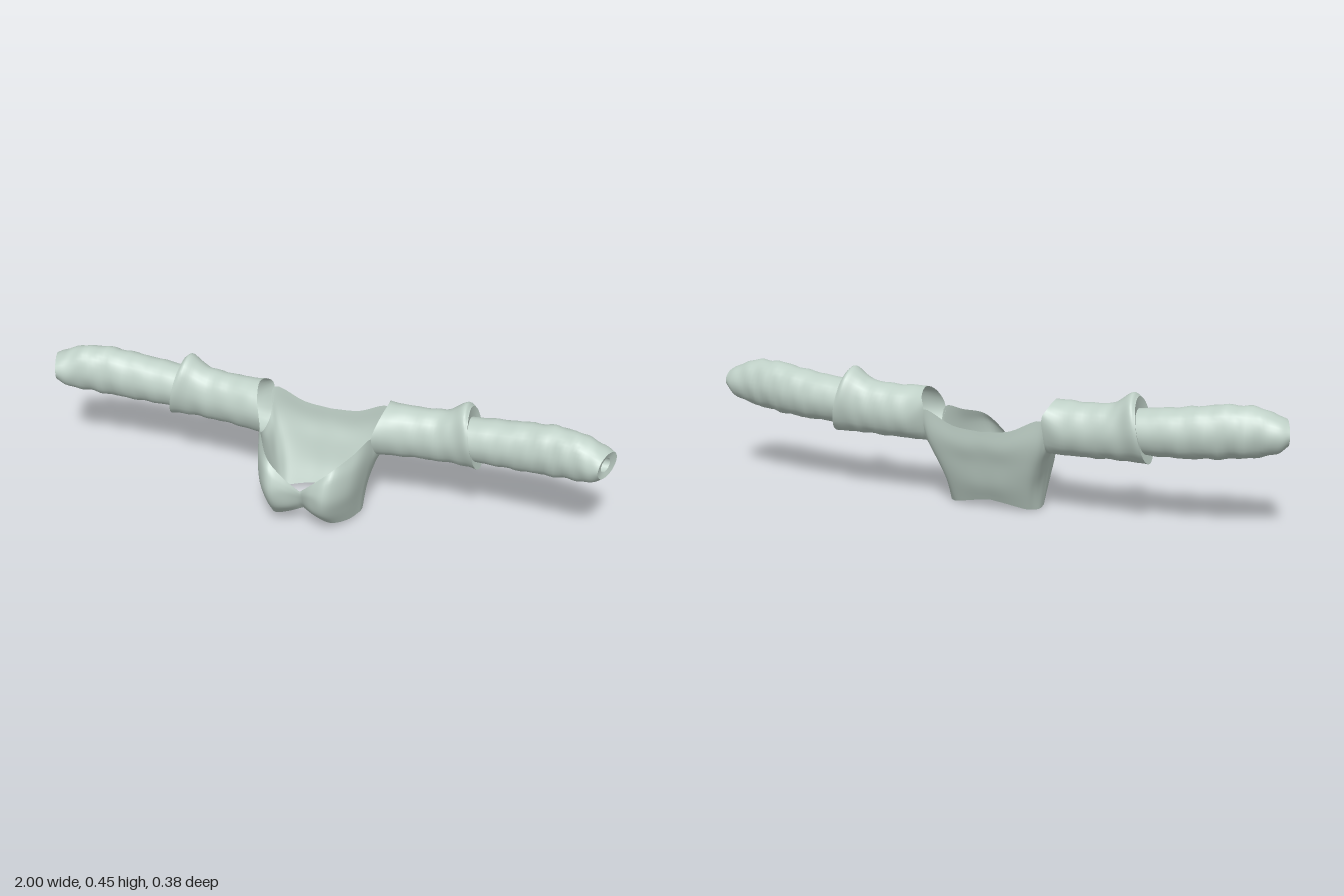
import * as THREE from 'three';

const V = (p) => new THREE.Vector3(p[0], p[1], p[2]);

// Smooth curve through points, sampled n steps per segment
function sample(points, n, closed = false) {
  const curve = new THREE.CatmullRomCurve3(points, closed, 'catmullrom', 0.5);
  const total = n * (closed ? points.length : points.length - 1);
  const out = [];
  for (let i = 0; i < total + (closed ? 0 : 1); i++) out.push(curve.getPoint(i / total));
  return out;
}

// Smooth extra rows between the given rows
function refine(rows, n) {
  const columns = rows[0].map((_, j) => sample(rows.map((r) => r[j]), n));
  return columns[0].map((_, i) => columns.map((c) => c[i]));
}

// Closed skin over a stack of rings
function skin(rings, flip = false) {
  const n = rings[0].length;
  const pos = [], idx = [];
  rings.forEach((r) => r.forEach((p) => pos.push(p.x, p.y, p.z)));
  for (let i = 0; i < rings.length - 1; i++) {
    for (let j = 0; j < n; j++) {
      const k = (j + 1) % n;
      const a = i * n + j, b = i * n + k, c = a + n, d = b + n;
      if (flip) idx.push(a, c, b, b, c, d);
      else idx.push(a, b, c, b, d, c);
    }
  }
  const g = new THREE.BufferGeometry();
  g.setAttribute('position', new THREE.Float32BufferAttribute(pos, 3));
  g.setIndex(idx);
  g.computeVertexNormals();
  return g;
}

// Lower half of the armhole, front to back, shared by bodice and sleeve
const ARMHOLE = [[0.2, 0.31, 0], [0.208, 0.24, -0.03], [0.215, 0.215, -0.085],
  [0.213, 0.24, -0.145], [0.207, 0.342, -0.172]];

// Half of the bodice, centre front to centre back, from hem to neckline
const BODICE = [
  [[0, 0.062, 0.11], [0.05, 0.045, 0.125], [0.1, 0.025, 0.117], [0.14, 0.01, 0.06], [0.16, 0.005, 0],
    [0.163, 0.002, -0.025], [0.16, 0, -0.05], [0.145, 0.001, -0.07], [0.12, 0.006, -0.087], [0.06, 0.02, -0.098], [0, 0.03, -0.102]],
  [[0, 0.092, 0.13], [0.05, 0.09, 0.165], [0.1, 0.085, 0.166], [0.15, 0.08, 0.09], [0.17, 0.08, 0.01],
    [0.172, 0.08, -0.025], [0.17, 0.08, -0.06], [0.16, 0.085, -0.095], [0.135, 0.09, -0.122], [0.06, 0.09, -0.132], [0, 0.09, -0.132]],
  [[0, 0.12, 0.142], [0.05, 0.148, 0.178], [0.105, 0.15, 0.188], [0.16, 0.15, 0.11], [0.182, 0.155, 0.01],
    [0.184, 0.145, -0.03], [0.183, 0.14, -0.07], [0.178, 0.145, -0.115], [0.155, 0.17, -0.15], [0.07, 0.17, -0.156], [0, 0.17, -0.156]],
  [[0, 0.138, 0.147], [0.05, 0.178, 0.173], [0.11, 0.215, 0.175], [0.165, 0.225, 0.1], [0.194, 0.235, 0.01],
    [0.197, 0.2, -0.03], [0.198, 0.185, -0.08], [0.196, 0.2, -0.135], [0.185, 0.255, -0.17], [0.08, 0.233, -0.176], [0, 0.233, -0.176]],
  [[0, 0.148, 0.147], [0.055, 0.202, 0.162], [0.115, 0.255, 0.148], [0.165, 0.285, 0.07], ...ARMHOLE,
    [0.1, 0.299, -0.18], [0, 0.288, -0.181]],
];

function bodiceGeometry() {
  const rows = refine(BODICE.map((r) => r.map(V)), 5);
  return skin(rows.map((row) => {
    const half = sample(row, 5);
    const other = half.slice(1, -1).reverse().map((p) => new THREE.Vector3(-p.x, p.y, p.z));
    return [...half, ...other];
  }));
}

// Eight-point sleeve section, running front, bottom, back, top
// lean shifts the bottom outward, turn shifts the back outward
function section([x, top, bottom, front, back, lean = 0, turn = 0]) {
  const pts = [];
  for (let i = 0; i < 8; i++) {
    const c = Math.cos((i * Math.PI) / 4), s = Math.sin((i * Math.PI) / 4);
    pts.push(new THREE.Vector3(x + lean * s - turn * c,
      (top + bottom) / 2 - (s * (top - bottom)) / 2, (front + back) / 2 + (c * (front - back)) / 2));
  }
  return pts;
}

function sleeveGeometry(sections, side, steps, folds = 0) {
  const rings = refine(sections, steps).map((r) => sample(r, 4, true));
  rings.forEach((ring, i) => {
    const fade = Math.sin((Math.PI * i) / (rings.length - 1));
    ring.forEach((p, j) => {
      // soft cloth folds
      const a = (j / ring.length) * Math.PI * 2;
      const f = folds * fade * (Math.sin(p.x * 62 + 2 * a) + Math.sin(p.x * 97 - 3 * a + 1));
      p.z += f * Math.cos(a);
      p.y -= f * Math.sin(a);
      p.x *= side;
    });
  });
  return skin(rings, side < 0);
}

export function createModel() {
  const model = new THREE.Group();
  model.name = 'croppedJacket';
  const cloth = new THREE.MeshStandardMaterial({ color: 0xbfd0c7, side: THREE.DoubleSide });
  cloth.name = 'paleSageCloth';

  const add = (parent, name, geometry) => {
    const mesh = new THREE.Mesh(geometry, cloth);
    mesh.name = name;
    parent.add(mesh);
  };

  add(model, 'bodice', bodiceGeometry());

  // Upper sleeve: armhole ring, then sections out to the flared cuff
  const armRing = [...ARMHOLE, [0.222, 0.382, -0.15], [0.23, 0.4, -0.09], [0.217, 0.37, -0.03]].map(V);
  const cuffEdge = section([0.533, 0.437, 0.217, -0.012, -0.187, 0.022]);
  const upper = [
    armRing,
    section([0.27, 0.4, 0.215, -0.014, -0.174]),
    section([0.34, 0.4, 0.217, -0.025, -0.174]),
    section([0.42, 0.405, 0.219, -0.028, -0.174, 0.008]),
    section([0.47, 0.425, 0.22, -0.027, -0.176, 0.014]),
    section([0.512, 0.449, 0.218, -0.016, -0.187, 0.02]),
    cuffEdge,
  ];
  const cuffFold = [cuffEdge, section([0.528, 0.392, 0.25, -0.03, -0.165, 0.018])];

  // Lower sleeve: tapers and bends forward to the wrist
  const wrist = section([0.98, 0.393, 0.307, 0.016, -0.098, 0, 0.02]);
  const lower = [
    section([0.5, 0.395, 0.248, -0.028, -0.168]),
    section([0.58, 0.405, 0.246, -0.026, -0.168]),
    section([0.68, 0.417, 0.247, -0.021, -0.163]),
    section([0.78, 0.431, 0.254, -0.012, -0.152]),
    section([0.86, 0.432, 0.262, -0.003, -0.137, 0, 0.005]),
    section([0.92, 0.42, 0.272, 0.006, -0.122, 0, 0.012]),
    section([0.955, 0.405, 0.284, 0.013, -0.116, 0, 0.018]),
    wrist,
  ];
  // Wrist rim and the opening inside it
  const rim = [wrist, section([0.974, 0.374, 0.325, -0.017, -0.067, 0, 0.01])];
  const opening = [rim[1], section([0.93, 0.376, 0.323, -0.015, -0.069, 0, 0.01])];

  for (const side of [1, -1]) {
    const sleeve = new THREE.Group();
    sleeve.name = side > 0 ? 'leftSleeve' : 'rightSleeve';
    add(sleeve, 'upperSleeve', sleeveGeometry(upper, side, 5, 0.0012));
    add(sleeve, 'cuffFold', sleeveGeometry(cuffFold, side, 1));
    add(sleeve, 'lowerSleeve', sleeveGeometry(lower, side, 5, 0.0018));
    add(sleeve, 'wristRim', sleeveGeometry(rim, side, 1));
    add(sleeve, 'wristOpening', sleeveGeometry(opening, side, 1));
    model.add(sleeve);
  }
  return model;
}
